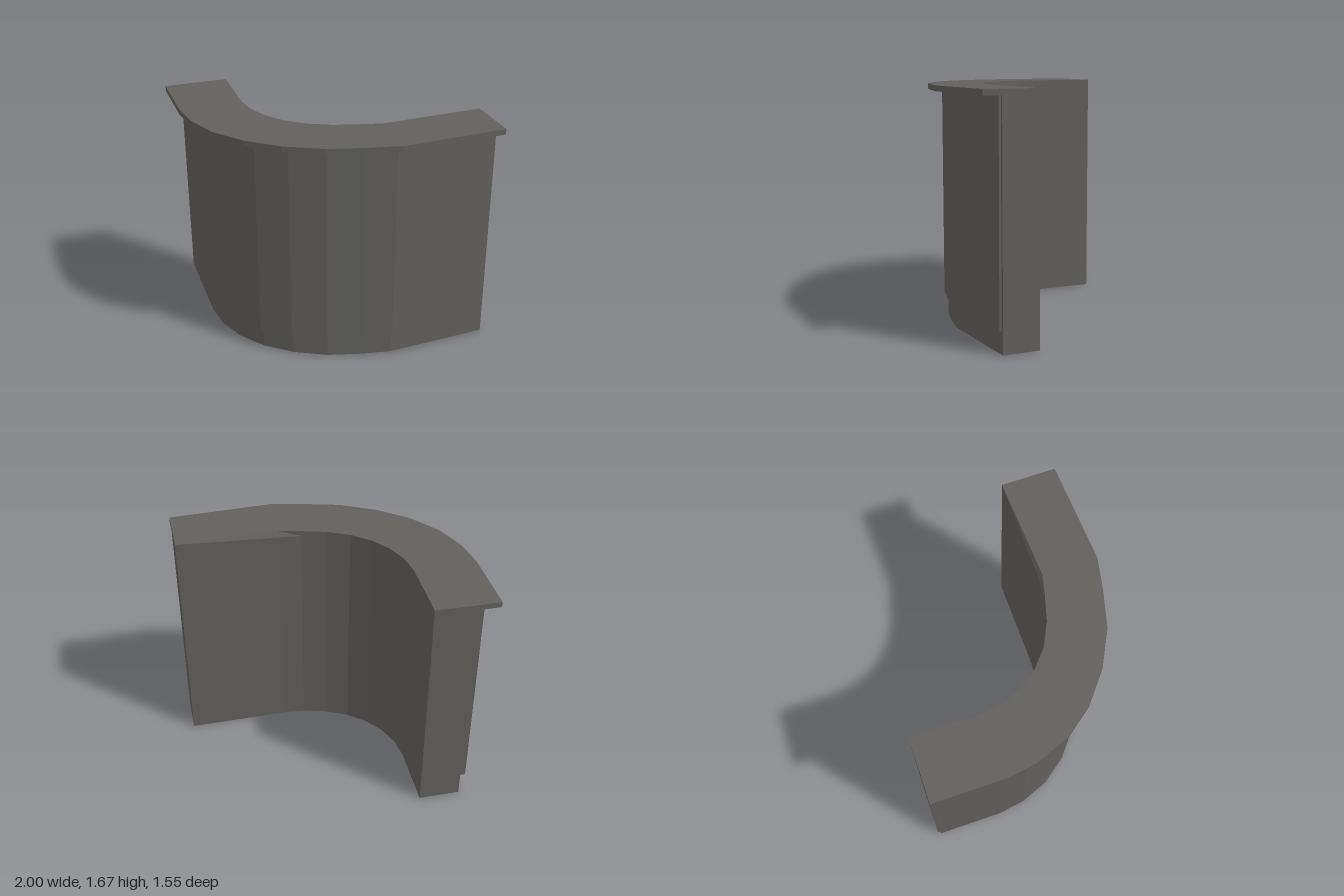
import * as THREE from 'three';

// Plan of the curved counter as [x, z] points, from the back end to the side end
const outer = [[-1, -0.77], [-0.99, -0.28], [-0.955, -0.06], [-0.86, 0.17], [-0.7, 0.375],
  [-0.49, 0.54], [-0.24, 0.665], [0.02, 0.73], [0.26, 0.776], [0.997, 0.727]];
const inner = [[-0.55, -0.777], [-0.545, -0.3], [-0.52, -0.15], [-0.455, 0], [-0.36, 0.125],
  [-0.23, 0.23], [-0.07, 0.305], [0.1, 0.35], [0.26, 0.36], [0.988, 0.34]];
const BEND = 8; // last corner before the straight side

const material = new THREE.MeshStandardMaterial({ color: 0x61605c, flatShading: true });

// Line between inner and outer: shares at the back end, the bend and the side end
function between(start, bend, end, inset = 0) {
  return outer.map(([x, z], i) => {
    const t = i > BEND ? end : start + (bend - start) * i / BEND;
    const [ix, iz] = inner[i];
    return [
      ix + (x - ix) * t - (i > BEND ? inset : 0),
      iz + (z - iz) * t + (i === 0 ? inset : 0),
    ];
  });
}

// Upright band between two plan lines
function band(name, front, back, y0, y1) {
  const outline = [...front, ...[...back].reverse()];
  const shape = new THREE.Shape(outline.map(([x, z]) => new THREE.Vector2(x, -z)));
  const geometry = new THREE.ExtrudeGeometry(shape, { depth: y1 - y0, bevelEnabled: false });
  geometry.rotateX(-Math.PI / 2);
  geometry.translate(0, y0, 0);
  const mesh = new THREE.Mesh(geometry, material);
  mesh.name = name;
  return mesh;
}

// Slopes the top's inner edge back at the bend
function slopeInnerCorner(geometry, yMiddle) {
  const position = geometry.attributes.position;
  const [cx, cz] = inner[BEND];
  for (let i = 0; i < position.count; i++) {
    const distance = Math.hypot(position.getX(i) - cx, position.getZ(i) - cz);
    if (distance < 0.001 && position.getY(i) > yMiddle) position.setZ(i, 0.385);
  }
  geometry.computeVertexNormals();
}

export function createModel() {
  const group = new THREE.Group();
  group.name = 'curvedCounter';

  const core = band('counterCore', between(0.657, 0.688, 0.667), inner, 0, 1.634);
  // Cladding stops just short of both ends and above the floor
  const cladding = band('frontCladding', between(0.755, 0.745, 0.71, 0.018),
    between(0.65, 0.68, 0.66, 0.018), 0.154, 1.634);
  const top = band('counterTop', outer, inner, 1.634, 1.673);
  slopeInnerCorner(top.geometry, 1.65);

  group.add(core, cladding, top);
  return group;
}
